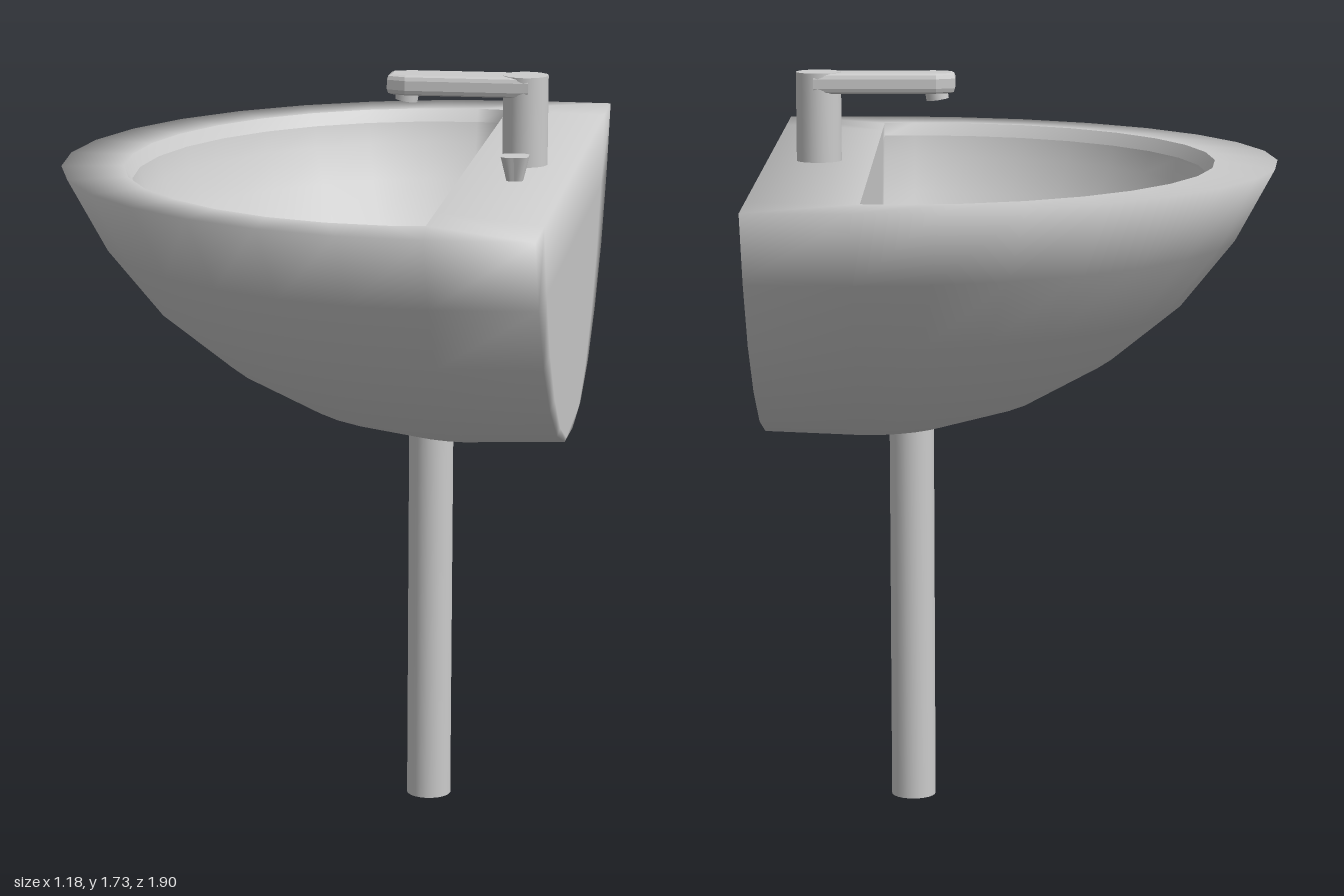
import * as THREE from 'three';
import { mergeVertices } from 'three/addons/utils/BufferGeometryUtils.js';

const grey = new THREE.MeshStandardMaterial({ color: 0xcccccc, side: THREE.DoubleSide });
const ARC = 16, FLAT = 10, MID_Z = -0.045, TOP = 1.52;

// Closed D-shaped loop: half ellipse towards -x, straight edge at backX.
function dLoop({ cx, rx, rz, backX, cornerZ }, y, backY = y) {
  const points = [];
  for (let i = 0; i <= ARC; i++) {
    const a = Math.PI * (0.5 + i / ARC);
    points.push([cx + rx * Math.cos(a), y, MID_Z + rz * Math.sin(a)]);
  }
  for (let i = 0; i <= FLAT; i++) {
    points.push([backX, backY, MID_Z + cornerZ * (2 * i / FLAT - 1)]);
  }
  return points;
}

// Smooth skin across a series of loops with equal point counts.
function loft(loops) {
  const n = loops[0].length, index = [];
  for (let i = 0; i < loops.length - 1; i++) {
    for (let j = 0; j < n; j++) {
      const a = i * n + j, c = i * n + (j + 1) % n;
      index.push(a, a + n, c, c, a + n, c + n);
    }
  }
  const geometry = new THREE.BufferGeometry();
  geometry.setAttribute('position', new THREE.Float32BufferAttribute(loops.flat(2), 3));
  geometry.setIndex(index);
  const merged = mergeVertices(geometry, 1e-4);
  merged.computeVertexNormals();
  return merged;
}

export function createModel() {
  const group = new THREE.Group();
  const add = (name, geometry, x = 0, y = 0, z = 0) => {
    const mesh = new THREE.Mesh(geometry, grey);
    mesh.name = name;
    mesh.position.set(x, y, z);
    group.add(mesh);
    return mesh;
  };

  const outerLoop = (r, y) => dLoop(
    { cx: 0.36, rx: r, rz: r, backX: 0.59, cornerZ: r * 0.99 }, y, TOP - (TOP - y) * 0.984);
  const innerLoop = (s, y) => dLoop(
    { cx: 0.27, rx: 0.715 * s, rz: 0.8 * s, backX: 0.345, cornerZ: 0.79 * s }, y);

  // Outer shell with flat wall side and top rim
  const profile = [[0, 0.895], [0.2, 0.91], [0.395, 0.97], [0.575, 1.07],
    [0.735, 1.2], [0.86, 1.355], [0.95, TOP]];
  add('basinShell', loft([...profile.map(([r, y]) => outerLoop(r, y)), innerLoop(1, TOP)]));

  // Small lip around the opening, then the hollow of the bowl
  add('basinLip', loft([innerLoop(1, TOP), innerLoop(0.975, 1.49)]));
  const bowl = [];
  for (let i = 0; i <= 8; i++) {
    const s = Math.cos(i / 8 * Math.PI / 2);
    bowl.push(innerLoop(0.975 * s, 1.49 - 0.54 * Math.pow(1 - s * s, 0.72)));
  }
  add('basinBowl', loft(bowl));

  // Hollow waste pipe
  const pipe = [[0.042, 0.92], [0.042, 0], [0.042, 0], [0.052, 0], [0.052, 0], [0.052, 0.92]];
  add('wastePipe', new THREE.LatheGeometry(pipe.map(p => new THREE.Vector2(...p)), 24), 0.26, 0, -0.04);

  // Tap: upright body, flat spout with tapered tip, tilted nozzle
  add('tapBody', new THREE.CylinderGeometry(0.052, 0.052, 0.205, 24), 0.47, 1.6225, -0.05);
  const plan = new THREE.Shape();
  plan.moveTo(0.47, -0.042);
  plan.lineTo(0.47, 0.042);
  plan.lineTo(0.2, 0.042);
  plan.lineTo(0.165, 0.027);
  plan.lineTo(0.165, -0.027);
  plan.lineTo(0.2, -0.042);
  const spout = new THREE.ExtrudeGeometry(plan, {
    depth: 0.022, bevelEnabled: true, bevelThickness: 0.012, bevelSize: 0.01, bevelSegments: 2 });
  spout.rotateX(-Math.PI / 2);
  add('tapSpout', spout, 0, 1.69, -0.05);
  const nozzle = add('tapNozzle', new THREE.CylinderGeometry(0.026, 0.026, 0.03, 16), 0.198, 1.676, -0.05);
  nozzle.rotation.z = -0.15;

  // Flared knob with four lobes
  const knob = new THREE.CylinderGeometry(0.034, 0.02, 0.055, 32);
  const p = knob.attributes.position;
  for (let i = 0; i < p.count; i++) {
    const k = 1 - 0.1 * Math.cos(4 * Math.atan2(p.getZ(i), p.getX(i)));
    p.setX(i, p.getX(i) * k);
    p.setZ(i, p.getZ(i) * k);
  }
  knob.computeVertexNormals();
  add('knob', knob, 0.47, 1.5475, 0.165);

  return group;
}
